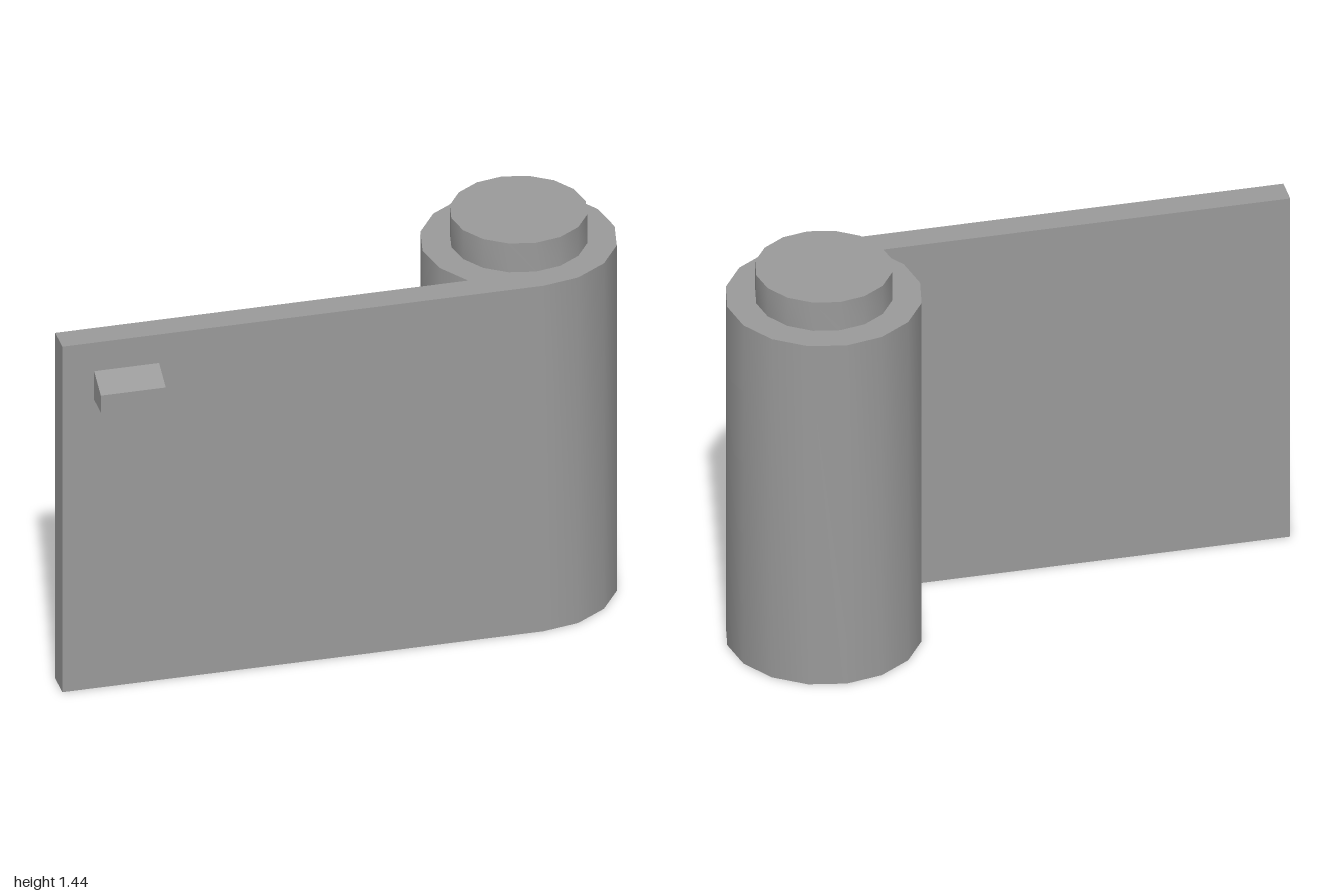
import * as THREE from 'three';
import { toCreasedNormals } from 'three/addons/utils/BufferGeometryUtils.js';

const SIDES = 16, R = 0.333, PEG_R = 0.233, H = 1.333, STEP = 0.111;
const CX = 0.667, CZ = -0.045;

function extrude(points, depth) {
  const shape = new THREE.Shape(points.map(([x, y]) => new THREE.Vector2(x, y)));
  return new THREE.ExtrudeGeometry(shape, { depth, bevelEnabled: false });
}

export function createModel() {
  const group = new THREE.Group();
  const material = new THREE.MeshStandardMaterial({ color: 0x9a9a9a });
  const add = (name, geometry) => {
    const mesh = new THREE.Mesh(geometry, material);
    mesh.name = name;
    group.add(mesh);
    return mesh;
  };

  // Hinge barrel: socket underneath, peg on top
  const profile = [
    [0, STEP], [PEG_R, STEP], [PEG_R, 0], [R, 0],
    [R, H], [PEG_R, H], [PEG_R, H + STEP], [0, H + STEP],
  ].map(([r, y]) => new THREE.Vector2(r, y));
  const barrel = toCreasedNormals(new THREE.LatheGeometry(profile, SIDES), Math.PI / 6);
  add('hingeBarrel', barrel).position.set(CX, 0, CZ);

  // Flat leaf, its end following the barrel's facets so the two meet flush
  const rim = [0, 1, 2].map((i) => {
    const a = (i / SIDES) * Math.PI * 2;
    return [CX - R * Math.sin(a), -(CZ + R * Math.cos(a))];
  });
  const leaf = extrude([[-1, rim[0][1]], ...rim, [-1, rim[2][1]]], H);
  leaf.rotateX(-Math.PI / 2);
  add('hingeLeaf', leaf);

  // Small wedge-topped catch on the front, outline in z and y
  const front = CZ + R;
  const catchBlock = extrude([[front, 1.113], [0.378, 1.113], [0.378, 1.178], [front, 1.223]], 0.225);
  catchBlock.rotateY(-Math.PI / 2);
  add('catchBlock', catchBlock).position.x = -0.665;

  return group;
}
